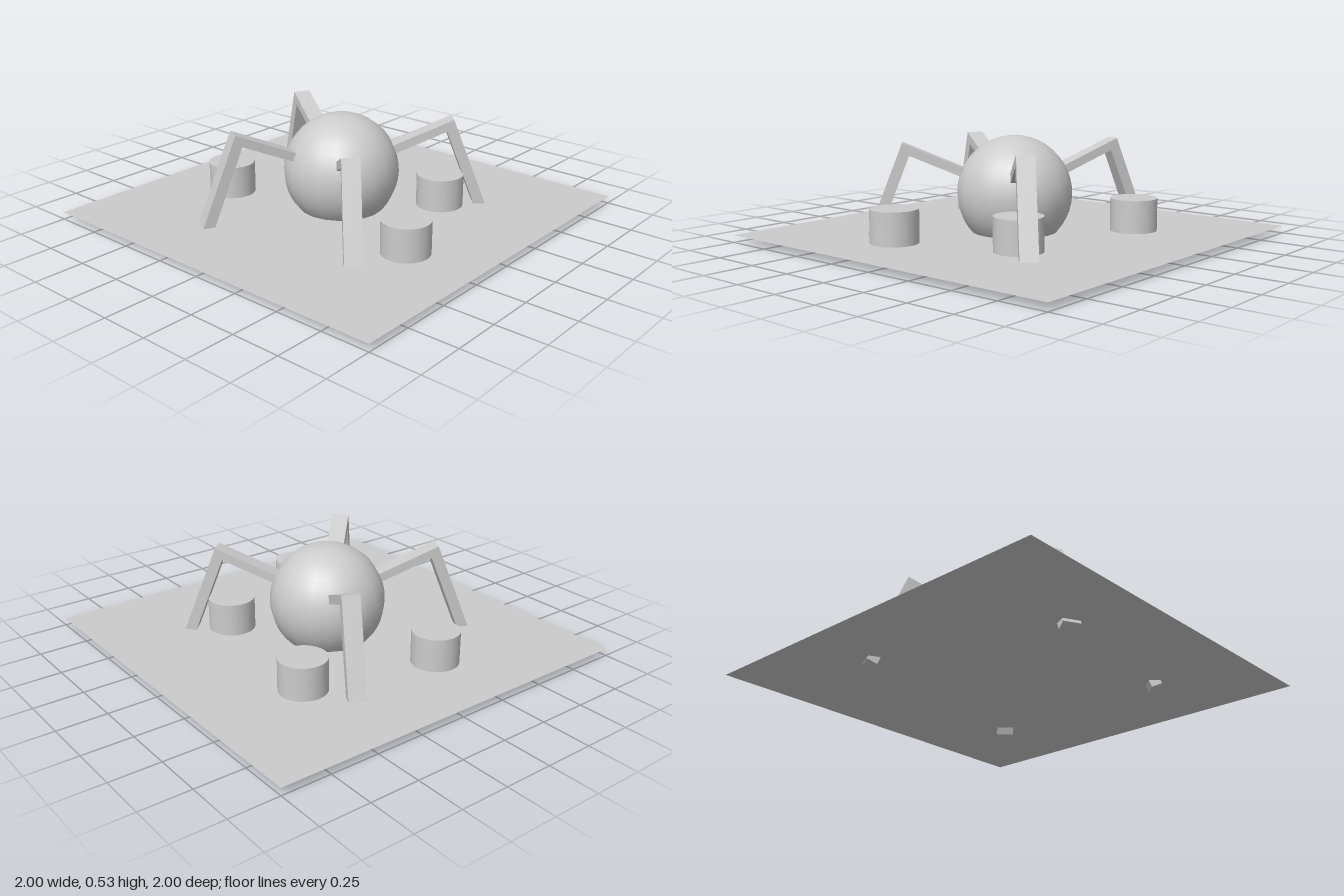
import * as THREE from 'three';

export function createModel() {
  const model = new THREE.Group();
  const material = new THREE.MeshStandardMaterial({ color: 0xcccccc, side: THREE.DoubleSide });
  const groundY = 0.037;

  function add(name, geometry, x = 0, y = 0, z = 0) {
    const mesh = new THREE.Mesh(geometry, material);
    mesh.name = name;
    mesh.position.set(x, y, z);
    model.add(mesh);
    return mesh;
  }

  // Flat ground sheet
  add('groundSheet', new THREE.PlaneGeometry(2, 2).rotateX(-Math.PI / 2), 0, groundY, 0);

  // Spherical body, cut off where it meets the sheet
  const radius = 0.294, centerY = 0.234;
  const cut = Math.acos((groundY - centerY) / radius);
  add('body', new THREE.SphereGeometry(radius, 20, 16, 0, Math.PI * 2, 0, cut), 0, centerY, 0);

  // Bent legs: mitred side profile (radius, height), spread around the body
  const profile = new THREE.Shape([
    [0.25, 0.314], [0.532, 0.433], [0.698, 0], [0.75, 0.02], [0.566, 0.495], [0.25, 0.362],
  ].map(([r, y]) => new THREE.Vector2(r, y)));
  const width = 0.088;
  const legGeometry = new THREE.ExtrudeGeometry(profile, { depth: width, bevelEnabled: false });
  legGeometry.translate(0, 0, -width / 2);
  const legs = { frontLeftLeg: -45, frontRightLeg: -135, backLeftLeg: 63.2, backRightLeg: 152.8 };
  for (const [name, degrees] of Object.entries(legs)) {
    add(name, legGeometry).rotation.y = THREE.MathUtils.degToRad(degrees);
  }

  // Short drums standing on the sheet
  const drumHeight = 0.168;
  const drumGeometry = new THREE.CylinderGeometry(0.12, 0.12, drumHeight, 32);
  [[-0.225, -0.57], [0.456, -0.408], [0.34, 0.377], [-0.248, 0.606]].forEach(([x, z], i) => {
    add(`drum${i + 1}`, drumGeometry, x, groundY + drumHeight / 2, z);
  });

  return model;
}
